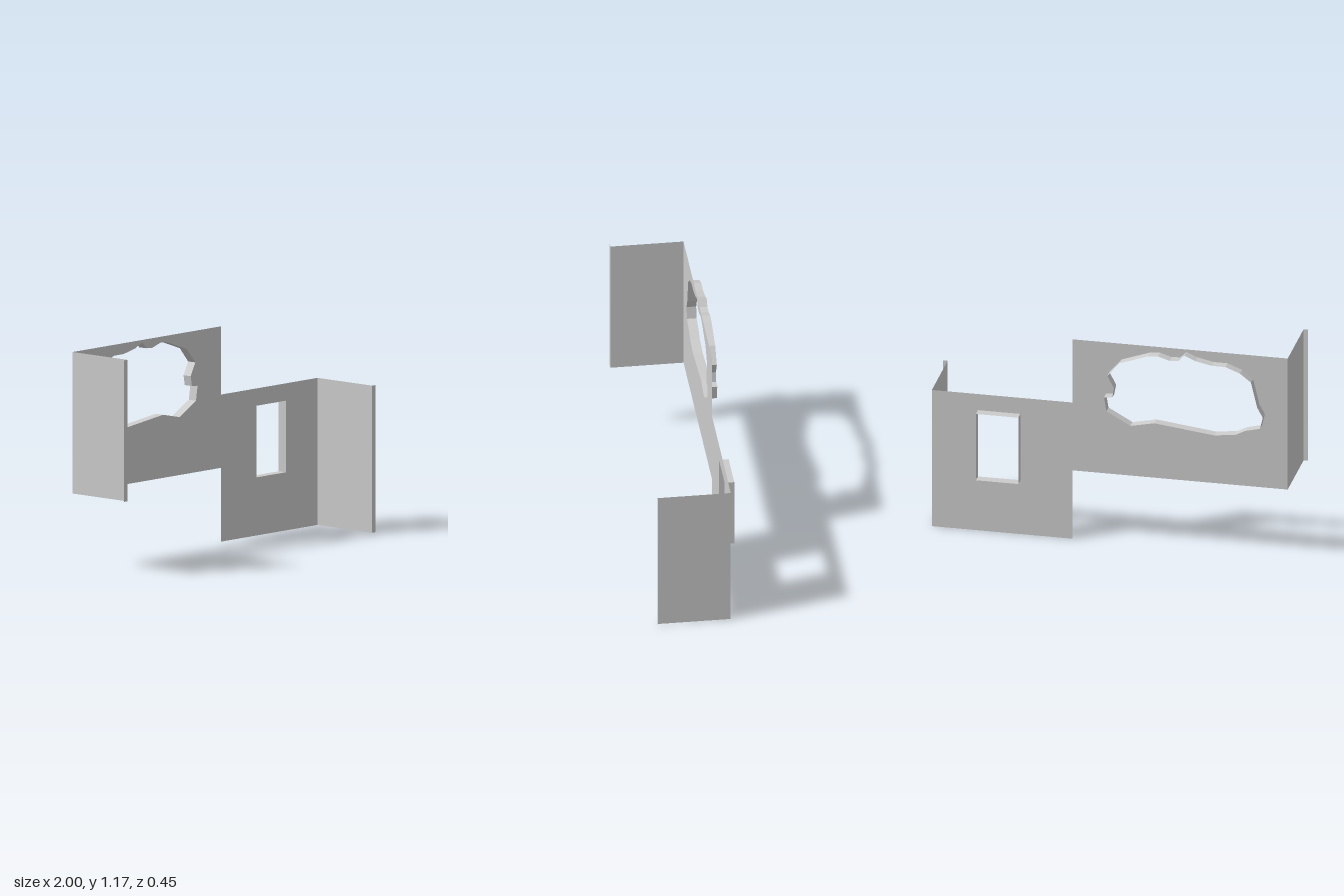
import * as THREE from 'three';

const BACK = -0.17, FRONT = 0.225, REVEAL = -0.222; // z planes
const INNER = 0.975, OUTER = 1;                     // side wall and flange edge

const material = new THREE.MeshStandardMaterial({
  color: 0xcccccc, side: THREE.DoubleSide, flatShading: true,
});

const toPoints = (list) => list.map(([x, y]) => new THREE.Vector2(x, y));

// Stepped outline of the back wall
const outline = toPoints([
  [-INNER, 0.4], [0.205, 0.4], [0.205, 0], [INNER, 0],
  [INNER, 0.797], [0.205, 0.797], [0.205, 1.167], [-INNER, 1.167],
]);

// Ragged opening, clockwise from its top notch
const ragged = toPoints([
  [-0.42, 1.153], [-0.388, 1.118], [-0.34, 1.115], [-0.275, 1.135], [-0.22, 1.13],
  [-0.065, 1.075], [0.002, 0.995], [-0.035, 0.925], [-0.025, 0.87], [0.02, 0.867],
  [0.007, 0.787], [-0.125, 0.714], [-0.255, 0.742], [-0.585, 0.702], [-0.7, 0.717],
  [-0.755, 0.745], [-0.835, 0.765], [-0.85, 0.83], [-0.82, 0.885], [-0.785, 1.03],
  [-0.725, 1.077], [-0.645, 1.108], [-0.57, 1.108], [-0.48, 1.127],
]);

// Rectangular window
const windowHole = toPoints([[0.49, 0.315], [0.49, 0.703], [0.722, 0.703], [0.722, 0.315]]);

// Open band that follows a closed loop from the wall to the reveal depth
function revealGeometry(loop) {
  const positions = [];
  loop.forEach((a, i) => {
    const b = loop[(i + 1) % loop.length];
    positions.push(
      a.x, a.y, BACK, b.x, b.y, BACK, b.x, b.y, REVEAL,
      a.x, a.y, BACK, b.x, b.y, REVEAL, a.x, a.y, REVEAL,
    );
  });
  const geometry = new THREE.BufferGeometry();
  geometry.setAttribute('position', new THREE.Float32BufferAttribute(positions, 3));
  geometry.computeVertexNormals();
  return geometry;
}

export function createModel() {
  const model = new THREE.Group();
  model.name = 'wallSection';

  const add = (name, geometry) => {
    const mesh = new THREE.Mesh(geometry, material);
    mesh.name = name;
    model.add(mesh);
    return mesh;
  };

  // Back wall with both openings
  const shape = new THREE.Shape(outline);
  shape.holes.push(new THREE.Path(ragged), new THREE.Path(windowHole));
  add('backWall', new THREE.ShapeGeometry(shape)).position.z = BACK;

  // Reveals projecting behind the openings
  add('raggedOpeningReveal', revealGeometry(ragged));
  add('windowReveal', revealGeometry(windowHole));

  // Side walls, each with a narrow flange turned outward at its front edge
  const sides = [
    { name: 'right', sign: -1, bottom: 0.4, top: 1.167 },
    { name: 'left', sign: 1, bottom: 0, top: 0.797 },
  ];
  for (const { name, sign, bottom, top } of sides) {
    const height = top - bottom, y = (top + bottom) / 2;
    const wall = add(`${name}SideWall`, new THREE.PlaneGeometry(FRONT - BACK, height));
    wall.rotation.y = sign * Math.PI / 2;
    wall.position.set(sign * INNER, y, (FRONT + BACK) / 2);
    const flange = add(`${name}Flange`, new THREE.PlaneGeometry(OUTER - INNER, height));
    flange.position.set(sign * (INNER + OUTER) / 2, y, FRONT);
  }

  return model;
}
